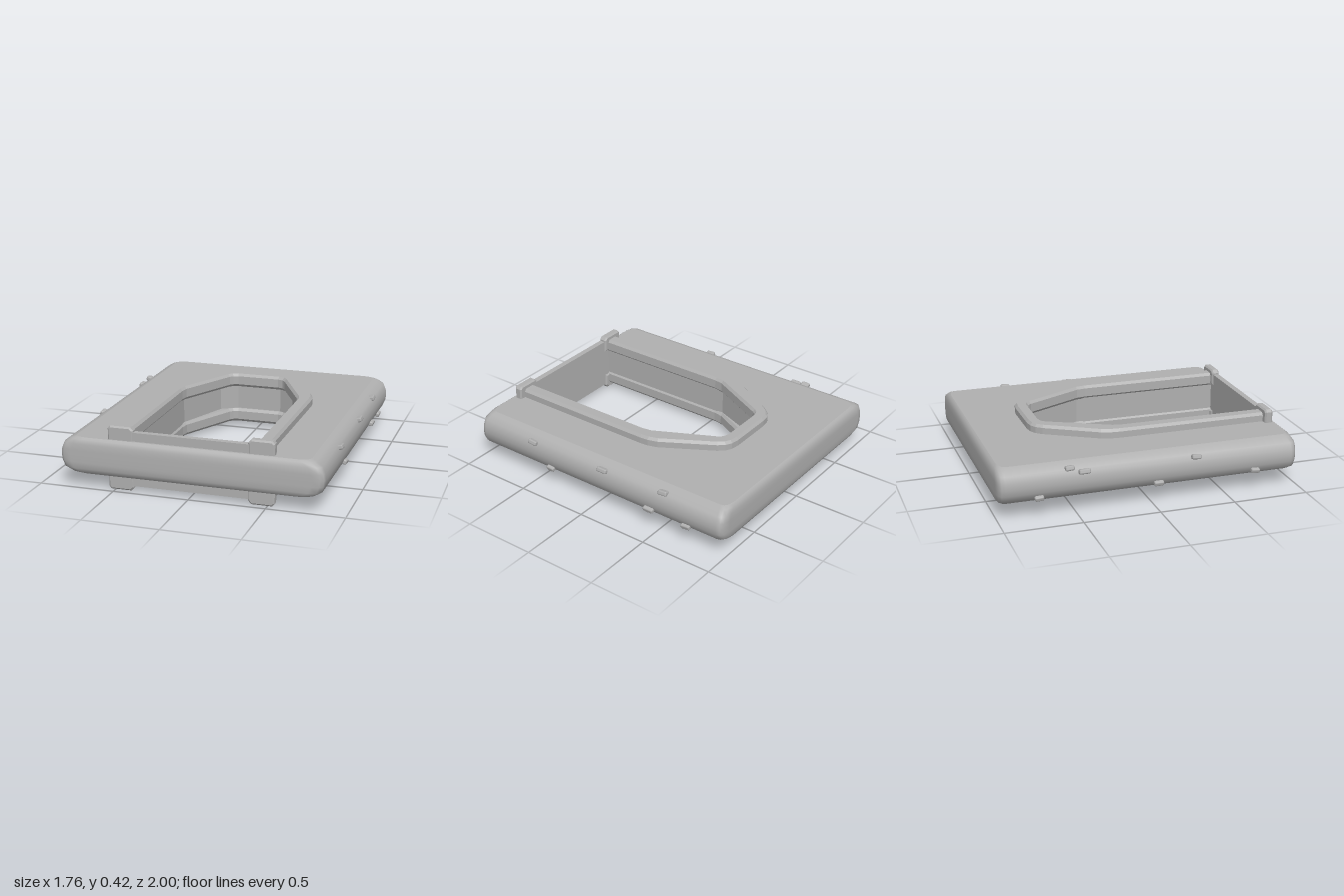
import * as THREE from 'three';
import { RoundedBoxGeometry } from 'three/addons/geometries/RoundedBoxGeometry.js';

const MID = 0.215; // the model mirrors above and below this height

// Skin between rings of [x, y, z] points, listed from top to bottom
function loft(rings, smooth) {
  const n = rings[0].length, index = [];
  for (let r = 0; r < rings.length - 1; r++) {
    for (let i = 0; i < n; i++) {
      const j = (i + 1) % n, a = r * n + i, b = r * n + j;
      index.push(a, b, a + n, b, b + n, a + n);
    }
  }
  let g = new THREE.BufferGeometry();
  g.setAttribute('position', new THREE.Float32BufferAttribute(rings.flat(2), 3));
  g.setIndex(index);
  if (!smooth) g = g.toNonIndexed();
  g.computeVertexNormals();
  return g;
}

// Right half of a plan outline, mirrored into a full one
const mirror = (half) => [...half, ...half.map(([x, z]) => [-x, z]).reverse()];

// Plan outline of the slab with softened corners
function slabPlan(hx, hz) {
  const corner = [[hx, hz - 0.05], [hx - 0.008, hz - 0.026], [hx - 0.03, hz - 0.009], [hx - 0.08, hz]];
  const front = mirror(corner);
  return [...front, ...front.map(([x, z]) => [-x, -z])];
}

const toShape = (pts, sign = 1) => new THREE.Shape(pts.map(([x, z]) => new THREE.Vector2(x, z * sign)));

export function createModel() {
  const model = new THREE.Group();
  model.name = 'archedSlab';
  const stone = new THREE.MeshStandardMaterial({ color: 0xb0b0b0 });
  stone.name = 'grey stone';
  const add = (geometry, name, parent = model) => {
    const mesh = new THREE.Mesh(geometry, stone);
    mesh.name = name;
    parent.add(mesh);
    return mesh;
  };

  // Slab: rounded rim, flat faces and the wall of the opening
  const rim = [[0.12, 0.77, 0.97], [0.109, 0.8, 0.985], [0.082, 0.842, 0.998], [0.04, 0.86, 1], [0, 0.865, 1]];
  const levels = [...rim, ...rim.slice(0, -1).reverse().map(([y, x, z]) => [-y, x, z])];
  add(loft(levels.map(([y, hx, hz]) => slabPlan(hx, hz).map(([x, z]) => [x, MID + y, z])), true), 'slabRim');

  const hole = mirror([[0.42, 0.93], [0.42, -0.12], [0.27, -0.5], [0.16, -0.57]]);
  for (const s of [1, -1]) {
    const face = toShape(slabPlan(0.77, 0.97), -s);
    face.holes.push(toShape(hole, -s));
    const g = new THREE.ShapeGeometry(face);
    g.rotateX(-s * Math.PI / 2);
    g.translate(0, MID + s * 0.12, 0);
    add(g, s > 0 ? 'slabTop' : 'slabBottom');
  }
  // The half outline runs front to back, so this ring already faces inward
  add(loft([0.12, -0.12].map((y) => hole.map(([x, z]) => [x, MID + y, z])), false), 'openingWall');

  // Arch trims and corner brackets, one set above and one below
  const outer = mirror([[0.505, 0.93], [0.505, -0.1], [0.5, -0.16], [0.48, -0.225], [0.285, -0.56],
    [0.25, -0.6], [0.21, -0.623], [0.15, -0.632]]);
  const inner = mirror([[0.41, 0.93], [0.41, -0.06], [0.4, -0.12], [0.222, -0.475],
    [0.205, -0.51], [0.185, -0.532], [0.15, -0.543]]);
  const arch = toShape([...outer, ...inner.reverse()]);
  const bracket = toShape([[0.375, 0.1], [0.375, 0.188], [0.395, 0.21], [0.53, 0.21], [0.545, 0.192], [0.545, 0.1]]);

  for (const s of [1, -1]) {
    const side = s > 0 ? 'upper' : 'lower';
    const trim = new THREE.ExtrudeGeometry(arch, {
      depth: 0.06, bevelThickness: 0.018, bevelSize: 0.015, bevelOffset: -0.015, bevelSegments: 1,
    });
    trim.rotateX(Math.PI / 2);
    trim.translate(0, MID + s * 0.132 + 0.03, 0);
    add(trim, side + 'ArchTrim');

    for (const x of [1, -1]) {
      const g = new THREE.ExtrudeGeometry(bracket, {
        depth: 0.035, bevelThickness: 0.01, bevelSize: 0.01, bevelOffset: -0.01, bevelSegments: 1,
      });
      g.translate(-0.46, 0, -0.0175);
      // Half turns keep the faces outward; the bracket is nearly symmetric
      if (s < 0) g.rotateZ(Math.PI);
      if (x * s < 0) g.rotateY(Math.PI);
      g.translate(x * 0.46, MID, 0.9325);
      add(g, side + 'Bracket');
    }
  }

  // Sill panel closing the front of the opening
  const sill = add(new THREE.BoxGeometry(0.92, 0.354, 0.04), 'sillPanel');
  sill.position.set(0, MID, 0.935);

  // Small stone chips along both long sides: side, z, y, length
  const chips = [
    [1, 0.52, 0.285, 0.066], [1, -0.065, 0.29, 0.075], [1, -0.54, 0.303, 0.066],
    [1, 0.375, 0.14, 0.06], [1, -0.44, 0.152, 0.075], [1, -0.72, 0.135, 0.066],
    [-1, -0.54, 0.305, 0.06], [-1, -0.45, 0.28, 0.075], [-1, 0.29, 0.285, 0.066],
    [-1, -0.74, 0.14, 0.06], [-1, 0.04, 0.14, 0.066], [-1, 0.7, 0.145, 0.06],
  ];
  const group = new THREE.Group();
  group.name = 'stoneChips';
  model.add(group);
  chips.forEach(([sx, z, y, length], i) => {
    const chip = add(new RoundedBoxGeometry(0.045, 0.032, length, 1, 0.01), 'stoneChip', group);
    const up = y > MID ? 1 : -1;
    chip.position.set(sx * (0.855 - Math.max(0, Math.abs(y - MID) - 0.065) * 0.8), y, z);
    chip.rotation.set(((i % 3) - 1) * 0.08, 0, sx * up * 0.3);
  });

  return model;
}
